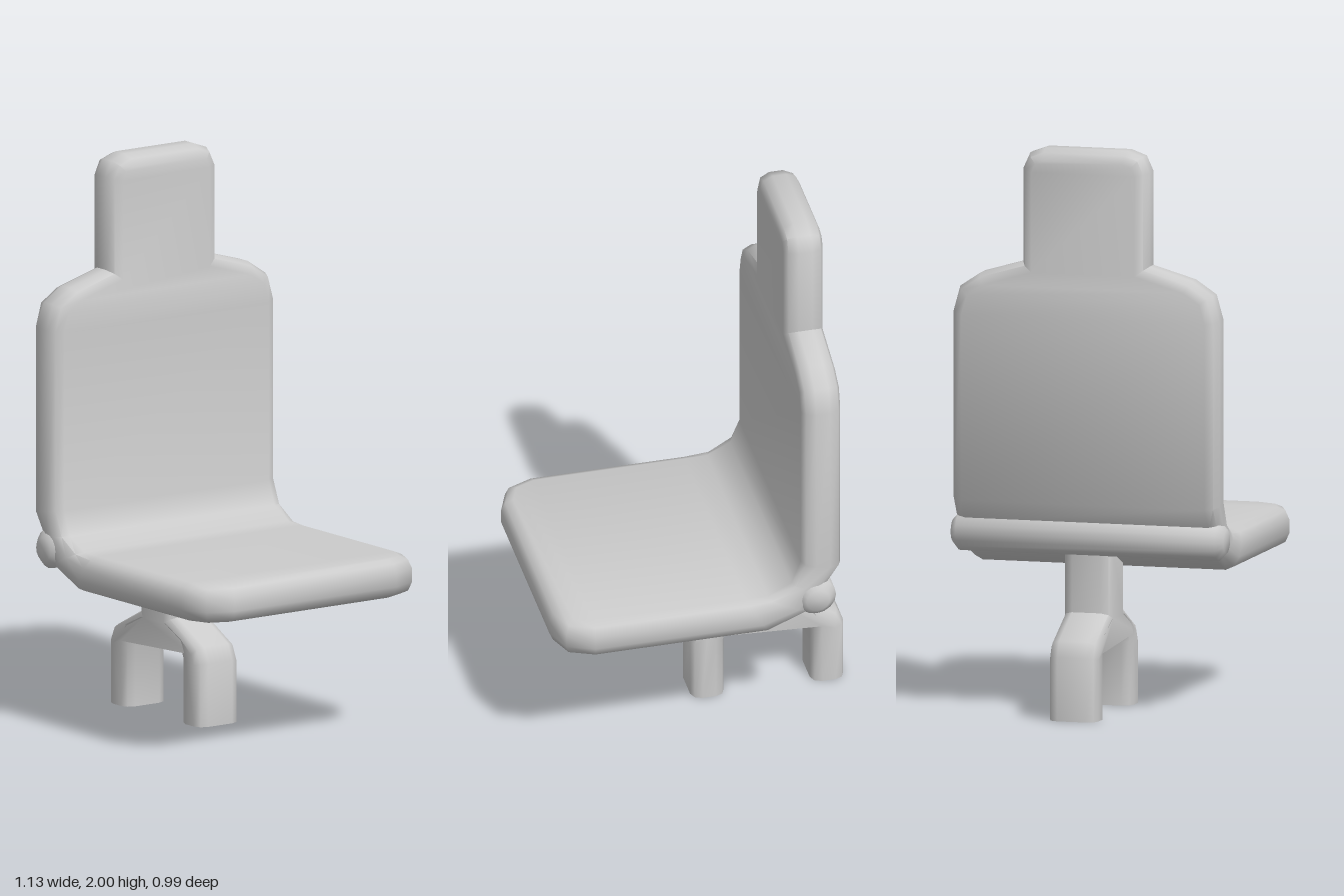
import * as THREE from 'three';
import { toCreasedNormals } from 'three/addons/utils/BufferGeometryUtils.js';

const material = new THREE.MeshStandardMaterial({ color: 0xcccccc, roughness: 0.7 });

// Stations down the back and out along the seat:
// outer x, y (rear / underside), inner x, y (front / top side), half width
const upright = (y, w) => [-0.46, y, -0.318, y, w];
const flat = (x, w) => [x, 0.505, x, 0.641, w];
const STATIONS = [
  upright(2.0, 0.15), upright(1.98, 0.205), upright(1.925, 0.23), upright(1.595, 0.23),
  upright(1.55, 0.385), upright(1.5, 0.46), upright(1.41, 0.485),
  [-0.46, 0.75, -0.318, 0.77, 0.485],
  [-0.405, 0.67, -0.285, 0.685, 0.485],
  [-0.35, 0.57, -0.2, 0.642, 0.485],
  [-0.2, 0.505, -0.12, 0.641, 0.485],
  flat(0.43, 0.485), flat(0.525, 0.445), flat(0.563, 0.35),
];

// Rounded edge from outer to inner face: height (-1..1) and inset from the outline
const EDGE = [[-1, 0.042], [-0.82, 0.014], [-0.35, 0], [0.35, 0], [0.82, 0.014], [1, 0.042]];

// Bent cushion whose outline is inset along its own normals to round every edge
function cushionGeometry() {
  const mids = STATIONS.map(([a, b, c, d]) => new THREE.Vector2((a + c) / 2, (b + d) / 2));
  const last = STATIONS.length - 1;
  let s = 0;
  const outline = STATIONS.map((st, i) => {
    if (i) s += mids[i].distanceTo(mids[i - 1]);
    return new THREE.Vector2(s, st[4]);
  });
  const segmentNormal = (i) => {
    if (i < 0) return new THREE.Vector2(-1, 0);
    if (i >= last) return new THREE.Vector2(1, 0);
    const d = outline[i + 1].clone().sub(outline[i]).normalize();
    return new THREE.Vector2(-d.y, d.x);
  };

  const positions = [], index = [];
  const n = EDGE.length, ring = n * 2;
  STATIONS.forEach(([ox, oy, ix, iy, w], i) => {
    const tangent = mids[Math.min(i + 1, last)].clone().sub(mids[Math.max(i - 1, 0)]).normalize();
    const n1 = segmentNormal(i - 1), n2 = segmentNormal(i);
    const miter = n1.clone().add(n2).divideScalar(1 + n1.dot(n2));
    for (let j = 0; j < ring; j++) {
      const left = j < n;
      const [h, inset] = EDGE[left ? j : ring - 1 - j];
      const along = -miter.x * inset;
      positions.push(
        mids[i].x + (ix - ox) / 2 * h + tangent.x * along,
        mids[i].y + (iy - oy) / 2 * h + tangent.y * along,
        (left ? 1 : -1) * (w - miter.y * inset));
    }
  });
  for (let i = 0; i < last; i++) {
    for (let j = 0; j < ring; j++) {
      const a = i * ring + j, b = i * ring + (j + 1) % ring;
      index.push(a, a + ring, b, b, a + ring, b + ring);
    }
  }
  // Edge strips closing the top of the headrest and the front of the seat
  for (let k = 0; k < n - 1; k++) {
    const a = k, b = k + 1, c = ring - 2 - k, d = ring - 1 - k, e = last * ring;
    index.push(a, b, c, a, c, d);
    index.push(e + a, e + c, e + b, e + a, e + d, e + c);
  }
  const g = new THREE.BufferGeometry();
  g.setAttribute('position', new THREE.Float32BufferAttribute(positions, 3));
  g.setIndex(index);
  return toCreasedNormals(g, 0.9);
}

// Forked stand: column, arch and two legs, mirrored about its own centre
function standGeometry() {
  const bevel = 0.036, cx = -0.29;
  const half = [
    [0.095, 0.61], [0.095, 0.36], [0.25, 0.28], [0.275, 0.225], [0.275, -bevel],
    [0.155, -bevel], [0.155, 0.225], [0.135, 0.27], [0.065, 0.302],
  ];
  const points = [
    ...half.map(([x, y]) => new THREE.Vector2(cx + x, y)),
    ...half.slice().reverse().map(([x, y]) => new THREE.Vector2(cx - x, y)),
  ];
  const depth = 0.176;
  const g = new THREE.ExtrudeGeometry(new THREE.Shape(points), {
    depth: depth - 2 * bevel, bevelEnabled: true, bevelSize: bevel,
    bevelThickness: bevel, bevelOffset: -bevel, bevelSegments: 2,
  });
  g.translate(0, 0, -0.098 + bevel);
  // Cut the feet flat on the floor
  const p = g.attributes.position;
  for (let i = 0; i < p.count; i++) p.setY(i, Math.max(0, p.getY(i)));
  return toCreasedNormals(g, 0.9);
}

// Hinge bar with chamfered ends
function hingeGeometry() {
  const profile = [[0, -0.497], [0.042, -0.497], [0.07, -0.472], [0.07, 0.472], [0.042, 0.497], [0, 0.497]]
    .map(([r, y]) => new THREE.Vector2(r, y));
  const g = new THREE.LatheGeometry(profile, 16);
  g.rotateX(Math.PI / 2);
  return toCreasedNormals(g, 0.9);
}

export function createModel() {
  const group = new THREE.Group();
  group.name = 'chair';
  const add = (name, geometry) => {
    const mesh = new THREE.Mesh(geometry, material);
    mesh.name = name;
    group.add(mesh);
    return mesh;
  };
  add('seatAndBackrest', cushionGeometry());
  add('hingeBar', hingeGeometry()).position.set(-0.368, 0.63, 0);
  add('forkedStand', standGeometry());
  return group;
}
